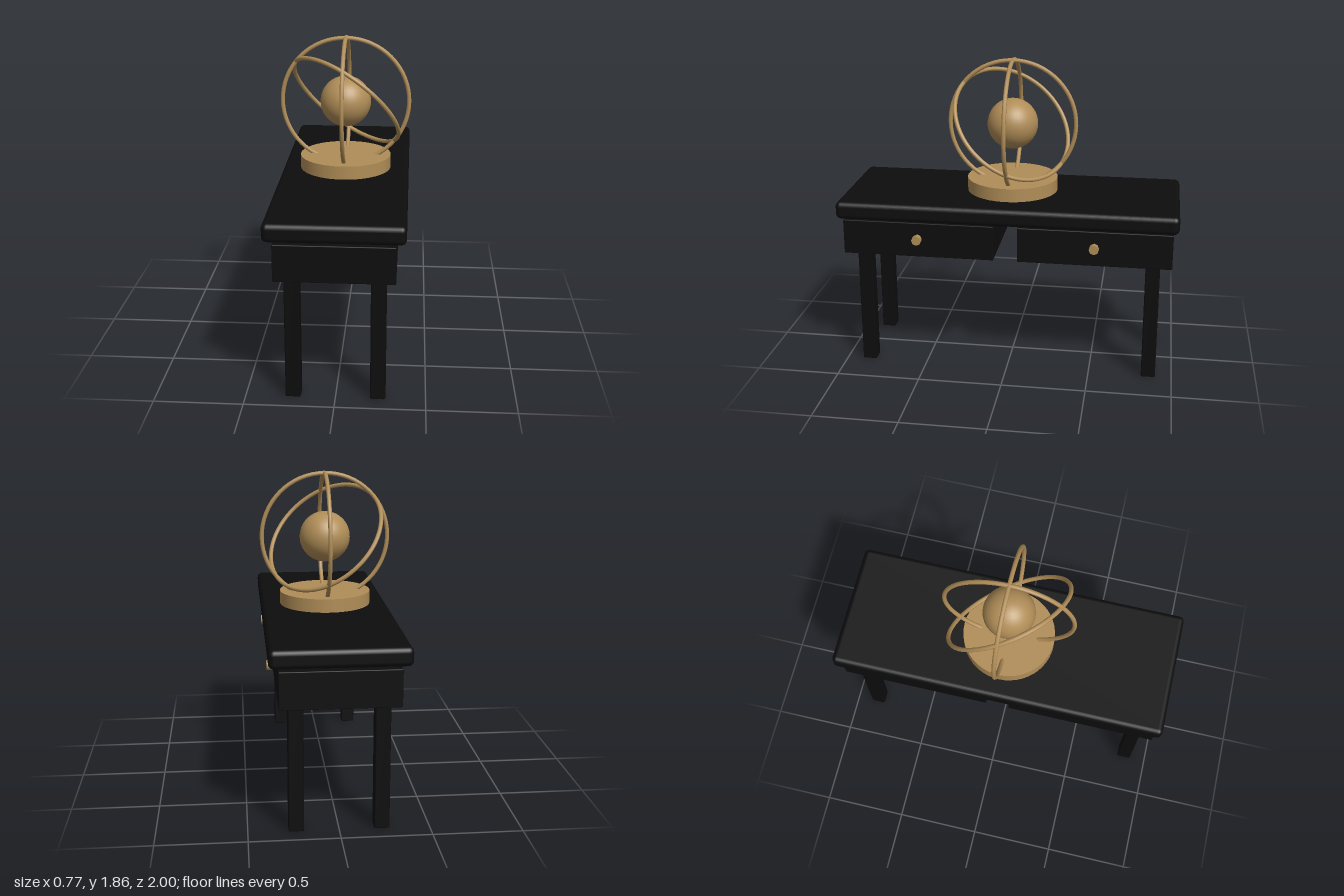
import * as THREE from 'three';
import { RoundedBoxGeometry } from 'three/addons/geometries/RoundedBoxGeometry.js';

export function createModel() {
  const model = new THREE.Group();
  const black = new THREE.MeshStandardMaterial({ color: 0x0d0d0d });
  black.name = 'black lacquer';
  const bronze = new THREE.MeshStandardMaterial({ color: 0xb08d57 });
  bronze.name = 'bronze';

  const add = (name, geometry, material, x, y, z, parent = model) => {
    const mesh = new THREE.Mesh(geometry, material);
    mesh.name = name;
    mesh.position.set(x, y, z);
    parent.add(mesh);
    return mesh;
  };

  // Table top with softened edges
  add('tableTop', new RoundedBoxGeometry(0.76, 0.105, 2, 3, 0.03), black, 0, 1.0025, 0);

  // Four square legs
  const legGeometry = new RoundedBoxGeometry(0.085, 0.94, 0.085, 1, 0.007);
  for (const x of [-0.235, 0.235])
    for (const z of [-0.86, 0.86]) add('leg', legGeometry, black, x, 0.47, z);

  // Two drawer boxes, each with a knob on the +x face
  const drawerGeometry = new RoundedBoxGeometry(0.656, 0.21, 0.9, 1, 0.005);
  const stemGeometry = new THREE.CylinderGeometry(0.024, 0.024, 0.03, 8).rotateZ(-Math.PI / 2);
  const headGeometry = new THREE.CylinderGeometry(0.029, 0.029, 0.03, 8).rotateZ(-Math.PI / 2);
  for (const side of [-1, 1]) {
    add('drawer', drawerGeometry, black, 0, 0.827, side * 0.52);
    const knob = new THREE.Group();
    knob.name = 'drawerKnob';
    knob.position.set(0.328, 0.838, side * 0.52);
    add('knobStem', stemGeometry, bronze, 0.01, 0, 0, knob);
    add('knobHead', headGeometry, bronze, 0.031, 0, 0, knob);
    model.add(knob);
  }

  // Armillary ornament: round base, globe and three rings
  const armillary = new THREE.Group();
  armillary.name = 'armillary';
  model.add(armillary);
  const centre = 1.472;
  add('ornamentBase', new THREE.CylinderGeometry(0.27, 0.27, 0.079, 48), bronze, 0, 1.1085, 0, armillary);
  add('globe', new THREE.SphereGeometry(0.15, 32, 20), bronze, 0, centre, 0, armillary);

  // Each ring is turned from the z axis to its own axis
  const ringGeometry = new THREE.TorusGeometry(0.375, 0.0125, 10, 64);
  const ringAxes = { frontRing: [0, 0, 1], sideRing: [1, 0, 0], tiltedRing: [0.535, 0.66, -0.535] };
  for (const [name, axis] of Object.entries(ringAxes)) {
    const ring = add(name, ringGeometry, bronze, 0, centre, 0, armillary);
    ring.quaternion.setFromUnitVectors(
      new THREE.Vector3(0, 0, 1), new THREE.Vector3(...axis).normalize());
  }

  return model;
}
